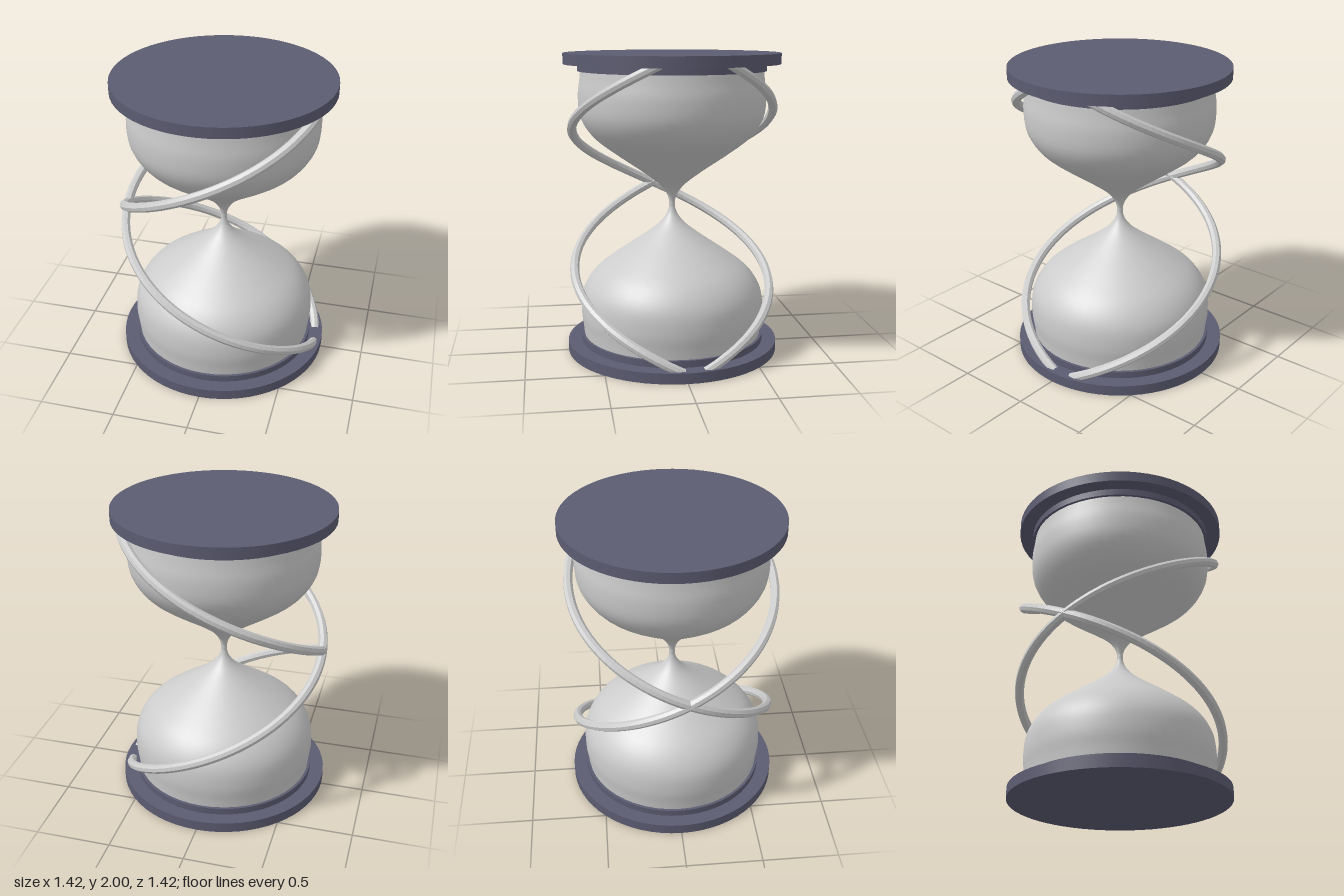
import * as THREE from 'three';

const metal = new THREE.MeshStandardMaterial({ color: 0xcccccc, flatShading: true });
const glass = new THREE.MeshStandardMaterial({ color: 0xcccccc, side: THREE.DoubleSide });
const plate = new THREE.MeshStandardMaterial({ color: 0x5c5c72 });

// Wire wound once around the glass; dir = +1 or -1 sets the winding direction
class Helix extends THREE.Curve {
  constructor(dir, y0) {
    super();
    this.dir = dir;
    this.y0 = y0;
  }
  getPoint(t, target = new THREE.Vector3()) {
    const y = 0.05 + 1.9 * t;
    const a = (Math.PI * 2 * (y - this.y0)) / 2.04;
    return target.set(0.66 * Math.cos(a), y, this.dir * 0.66 * Math.sin(a));
  }
}

export function createModel() {
  const group = new THREE.Group();
  const add = (name, geometry, material, y = 0) => {
    const mesh = new THREE.Mesh(geometry, material);
    mesh.name = name;
    mesh.position.y = y;
    group.add(mesh);
  };

  // End plates with a stepped collar holding the glass
  const disc = new THREE.CylinderGeometry(0.71, 0.71, 0.07, 64);
  const collar = new THREE.CylinderGeometry(0.617, 0.617, 0.05, 64);
  add('bottomPlate', disc, plate, 0.035);
  add('topPlate', disc, plate, 1.965);
  add('bottomCollar', collar, plate, 0.09);
  add('topCollar', collar, plate, 1.91);

  // Glass: lower bulb profile, mirrored about the neck
  const half = [
    [0.597, 0.09], [0.605, 0.17], [0.617, 0.28], [0.6, 0.42], [0.52, 0.545],
    [0.38, 0.655], [0.22, 0.765], [0.1, 0.855], [0.043, 0.92], [0.022, 0.97],
  ];
  const mirrored = half.map(([r, y]) => [r, 2 - y]).reverse();
  const profile = new THREE.SplineCurve(
    [...half, [0.02, 1], ...mirrored].map(([r, y]) => new THREE.Vector2(r, y))
  );
  add('glassBulbs', new THREE.LatheGeometry(profile.getPoints(80), 48), glass);

  // Two counter-wound wires crossing beside the neck
  add('forwardHelix', new THREE.TubeGeometry(new Helix(1, 0.04), 96, 0.031, 8), metal);
  add('reverseHelix', new THREE.TubeGeometry(new Helix(-1, -0.01), 96, 0.031, 8), metal);

  return group;
}
